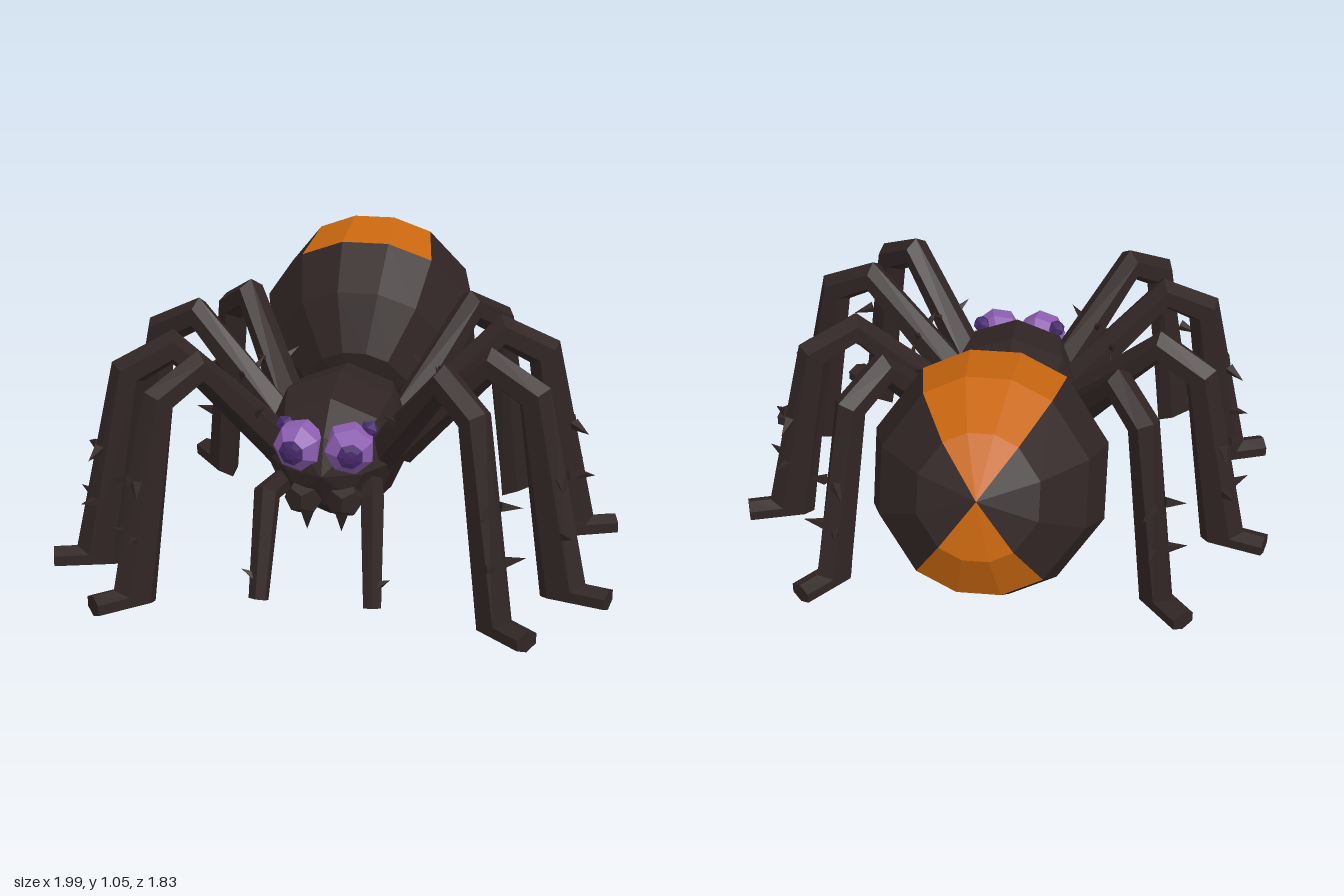
import * as THREE from 'three';

const mat = (name, color) => {
  const m = new THREE.MeshStandardMaterial({ color });
  m.name = name;
  return m;
};

// faceted normals
const flat = (g) => {
  const f = g.index ? g.toNonIndexed() : g;
  f.computeVertexNormals();
  return f;
};

const add = (parent, name, geometry, material) => {
  const mesh = new THREE.Mesh(flat(geometry), material);
  mesh.name = name;
  parent.add(mesh);
  return mesh;
};

// six-sided limb running along +x; stations are [topX, topY, bottomX, bottomY, halfWidth]
function limbGeometry(stations) {
  const N = 6, pos = [];
  const rings = stations.map(([tx, ty, bx, by, w]) =>
    Array.from({ length: N }, (_, i) => {
      const a = (i / N) * Math.PI * 2, c = Math.cos(a) / 2;
      return [(tx + bx) / 2 + (tx - bx) * c, (ty + by) / 2 + (ty - by) * c, w * Math.sin(a)];
    }));
  const tri = (...p) => p.forEach((v) => pos.push(...v));
  for (let s = 0; s < rings.length - 1; s++) {
    for (let j = 0; j < N; j++) {
      const k = (j + 1) % N, p = rings[s], q = rings[s + 1];
      tri(p[j], p[k], q[k]);
      tri(p[j], q[k], q[j]);
    }
  }
  const first = rings[0], last = rings[rings.length - 1];
  for (let j = 1; j < N - 1; j++) {
    tri(first[0], first[j + 1], first[j]);
    tri(last[0], last[j], last[j + 1]);
  }
  const g = new THREE.BufferGeometry();
  g.setAttribute('position', new THREE.Float32BufferAttribute(pos, 3));
  return g;
}

// small thorn standing on a limb
function addBarb(parent, material, at, dir, length = 0.08) {
  const barb = add(parent, 'barb', new THREE.ConeGeometry(0.022, length, 4), material);
  const d = new THREE.Vector3(...dir).normalize();
  barb.quaternion.setFromUnitVectors(new THREE.Vector3(0, 1, 0), d);
  barb.position.set(...at).addScaledVector(d, length * 0.3);
}

export function createModel() {
  const model = new THREE.Group();
  model.name = 'spider';
  const dark = mat('dark brown', 0x302524);
  const orange = mat('orange', 0xc8660f);
  const purple = mat('purple', 0x8c5eb0);
  const deepPurple = mat('deep purple', 0x47296b);

  // abdomen: tilted sphere in panels [name, first segment, segments, first ring, rings, material]
  const abdomen = new THREE.Group();
  abdomen.name = 'abdomen';
  abdomen.position.set(0, 0.63, -0.485);
  abdomen.scale.x = 0.97;
  model.add(abdomen);
  const seg = Math.PI / 5, ring = Math.PI / 6;
  [
    ['upperMarking', -1, 2, 0, 3, orange],
    ['upperPanel', -1, 2, 3, 3, dark],
    ['sidePanel', 1, 3, 0, 6, dark],
    ['lowerMarking', 4, 2, 0, 2, orange],
    ['lowerPanel', 4, 2, 2, 4, dark],
    ['sidePanel', 6, 3, 0, 6, dark],
  ].forEach(([name, s, sn, r, rn, m]) => {
    const g = new THREE.SphereGeometry(0.43, sn, rn,
      Math.PI / 2 + s * seg, sn * seg, r * ring, rn * ring);
    add(abdomen, name, g.rotateX(-1.126), m);
  });

  // front body
  const thorax = new THREE.SphereGeometry(1, 8, 6).rotateX(Math.PI / 2);
  add(model, 'thorax', thorax.scale(0.265, 0.25, 0.36).translate(0, 0.45, 0.24), dark);

  // legs
  const span = 0.79;
  const legStations = [
    [-0.04, 0.53, 0.06, 0.41, 0.062],
    [0.43, 0.885, 0.44, 0.76, 0.055],
    [0.70, 0.775, 0.565, 0.70, 0.055],
    [0.895, 0.085, 0.69, 0.005, 0.05],
    [1.0, 0.085, 1.0, 0.01, 0.05],
  ].map(([a, b, c, d, w]) => [a * span, b, c * span, d, w]);
  const legGeometry = limbGeometry(legStations);
  const legs = [
    ['frontLeg', 0.17, 0.40, 0.73, 0.89],
    ['secondLeg', 0.22, 0.32, 0.98, 0.55],
    ['thirdLeg', 0.22, 0.17, 0.98, -0.07],
    ['rearLeg', 0.20, 0.07, 0.69, -0.52],
  ];

  // feelers beside the mouth
  const feelerGeometry = limbGeometry([
    [0, 0.42, 0.03, 0.33, 0.04],
    [0.22, 0.43, 0.15, 0.355, 0.045],
    [0.31, 0.05, 0.25, 0.025, 0.035],
  ]);

  for (const side of [1, -1]) {
    for (const [name, x0, z0, x1, z1] of legs) {
      const leg = new THREE.Group();
      leg.name = name;
      leg.position.set(side * x0, 0, z0);
      leg.rotation.y = Math.atan2(z0 - z1, side * (x1 - x0));
      leg.scale.x = Math.hypot(x1 - x0, z1 - z0) / span;
      add(leg, 'limb', legGeometry, dark);
      for (const t of [1, -1]) {
        addBarb(leg, dark, [0.62, 0.46, t * 0.04], [0.5, -0.2, t]);
        addBarb(leg, dark, [0.64, 0.27, t * 0.04], [0.9, 0.3, t]);
        addBarb(leg, dark, [0.14, 0.63, t * 0.04], [-0.3, 0.8, t]);
      }
      model.add(leg);
    }

    const feeler = new THREE.Group();
    feeler.name = 'feeler';
    feeler.position.set(side * 0.15, 0, 0.45);
    feeler.rotation.y = Math.atan2(-0.33, side * 0.055);
    add(feeler, 'limb', feelerGeometry, dark);
    addBarb(feeler, dark, [0.27, 0.12, side * -0.02], [0.3, 0.6, side * -1], 0.06);
    model.add(feeler);

    // jaw and fang
    const jaw = add(model, 'jaw', new THREE.DodecahedronGeometry(0.07), dark);
    jaw.position.set(side * 0.07, 0.35, 0.535);
    const fang = add(model, 'fang', new THREE.ConeGeometry(0.03, 0.08, 5).rotateX(Math.PI), dark);
    fang.position.set(side * 0.06, 0.27, 0.55);

    // large eye with dark pupil
    const eye = new THREE.Group();
    eye.name = 'eye';
    eye.position.set(side * 0.085, 0.535, 0.53);
    eye.rotation.y = side * 0.2;
    const cap = 0.52;
    add(eye, 'eyeball', new THREE.SphereGeometry(0.092, 7, 4, 0, Math.PI * 2, cap, Math.PI - cap)
      .rotateX(Math.PI / 2), purple);
    add(eye, 'pupil', new THREE.SphereGeometry(0.092, 7, 1, 0, Math.PI * 2, 0, cap)
      .rotateX(Math.PI / 2), deepPurple);
    model.add(eye);

    // small side eye
    const sideEye = add(model, 'sideEye', new THREE.IcosahedronGeometry(0.034), deepPurple);
    sideEye.position.set(side * 0.145, 0.59, 0.49);
  }
  return model;
}
